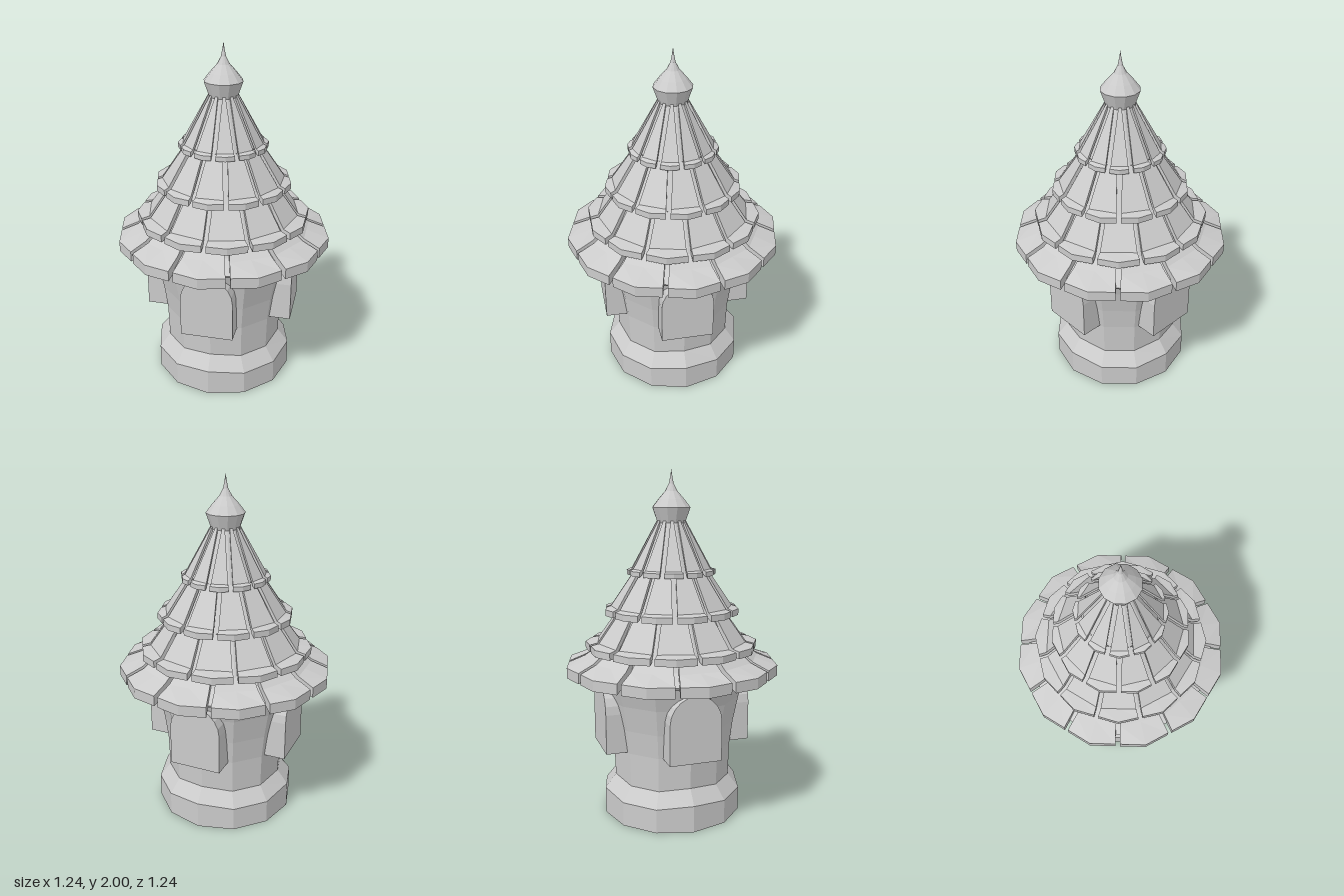
import * as THREE from 'three';

const SIDES = 12, STEP = Math.PI * 2 / SIDES;
const material = new THREE.MeshStandardMaterial({ color: 0xcccccc, flatShading: true, side: THREE.DoubleSide });

function mesh(name, geometry) {
  const m = new THREE.Mesh(geometry, material);
  m.name = name;
  return m;
}

// Twelve-sided turned part from [radius, height] pairs
function turned(name, profile) {
  const pts = profile.map(([r, y]) => new THREE.Vector2(r, y));
  return mesh(name, new THREE.LatheGeometry(pts, SIDES).toNonIndexed());
}

// Roof shingle: rows of [radius, height] from inner to outer; the last row is pointed
function shingleGeometry(rows, thickness) {
  const loops = rows.map(([r, y], i) => {
    const a = STEP / 2 - 0.013 / r;
    const pointed = i === rows.length - 1;
    const sideR = pointed ? r * Math.cos(STEP / 2) / Math.cos(STEP / 2 - a) : r / Math.cos(a);
    const at = (angle, rad, h) => [rad * Math.sin(angle), h, rad * Math.cos(angle)];
    const low = y - thickness;
    return [at(-a, sideR, y), at(0, r, y), at(a, sideR, y), at(a, sideR, low), at(0, r, low), at(-a, sideR, low)];
  });
  const pos = [];
  const quad = (a, b, c, d) => pos.push(...a, ...b, ...c, ...a, ...c, ...d);
  for (let i = 0; i < loops.length - 1; i++) {
    for (let j = 0; j < 6; j++) {
      const k = (j + 1) % 6;
      quad(loops[i][j], loops[i + 1][j], loops[i + 1][k], loops[i][k]);
    }
  }
  const p = loops[0], q = loops[loops.length - 1];
  quad(p[0], p[1], p[4], p[5]);
  quad(p[1], p[2], p[3], p[4]);
  quad(q[5], q[4], q[1], q[0]);
  quad(q[4], q[3], q[2], q[1]);
  const g = new THREE.BufferGeometry();
  g.setAttribute('position', new THREE.Float32BufferAttribute(pos, 3));
  g.computeVertexNormals();
  return g;
}

export function createModel() {
  const model = new THREE.Group();
  model.name = 'tower';

  // Plinth with a gently wavy sloping shoulder
  const plinth = turned('plinth', [[0, 0], [0.41, 0], [0.41, 0.145], [0.345, 0.228], [0, 0.228]]);
  const pp = plinth.geometry.attributes.position;
  for (let i = 0; i < pp.count; i++) {
    const x = pp.getX(i), z = pp.getZ(i);
    if (pp.getY(i) > 0.1 && Math.hypot(x, z) > 0.1) {
      pp.setY(i, pp.getY(i) + 0.011 * Math.cos(4 * Math.atan2(x, z)));
    }
  }
  plinth.geometry.computeVertexNormals();
  model.add(plinth);

  // Wall flaring out beneath the eaves
  model.add(turned('wall', [[0.345, 0.2], [0.352, 0.42], [0.37, 0.56], [0.4, 0.71], [0.45, 0.87], [0, 0.9]]));

  // Four solid arched window blocks
  const arch = new THREE.Shape();
  arch.moveTo(-0.15, 0.42);
  arch.lineTo(0.15, 0.42);
  arch.lineTo(0.15, 0.65);
  arch.absellipse(0, 0.65, 0.15, 0.155, 0, Math.PI, false);
  arch.closePath();
  const windowGeometry = new THREE.ExtrudeGeometry(arch, { depth: 0.165, bevelEnabled: false, curveSegments: 5 });
  windowGeometry.translate(0, 0, 0.27);
  for (let i = 0; i < 4; i++) {
    const w = mesh('archedWindow', windowGeometry);
    w.rotation.y = i * Math.PI / 2;
    model.add(w);
  }

  // Roof core seen between and below the shingles
  model.add(turned('roofCore', [
    [0.4, 0.86], [0.55, 0.87], [0.56, 0.885], [0.46, 0.94], [0.43, 0.99],
    [0.31, 1.19], [0.325, 1.2], [0.2, 1.42], [0.205, 1.44], [0.07, 1.72],
  ]));

  // Four tiers of shingles, alternately staggered
  const tiers = [
    { rows: [[0.42, 1.0], [0.49, 0.945], [0.62, 0.905]], thickness: 0.06 },
    { rows: [[0.31, 1.2], [0.425, 1.035], [0.5, 1.025]], thickness: 0.04 },
    { rows: [[0.205, 1.44], [0.34, 1.235], [0.39, 1.225]], thickness: 0.035 },
    { rows: [[0.08, 1.72], [0.225, 1.45], [0.255, 1.442]], thickness: 0.027 },
  ];
  tiers.forEach(({ rows, thickness }, t) => {
    const tier = new THREE.Group();
    tier.name = 'shingleTier' + (t + 1);
    const geometry = shingleGeometry(rows, thickness);
    for (let i = 0; i < SIDES; i++) {
      const s = mesh('shingle', geometry);
      s.rotation.y = (i + (t % 2) / 2) * STEP;
      tier.add(s);
    }
    model.add(tier);
  });

  // Finial with flared collar and spike
  model.add(turned('finial', [
    [0, 1.705], [0.08, 1.705], [0.11, 1.79], [0.075, 1.835], [0.035, 1.88], [0.014, 1.92], [0.006, 1.96], [0, 2],
  ]));

  return model;
}
